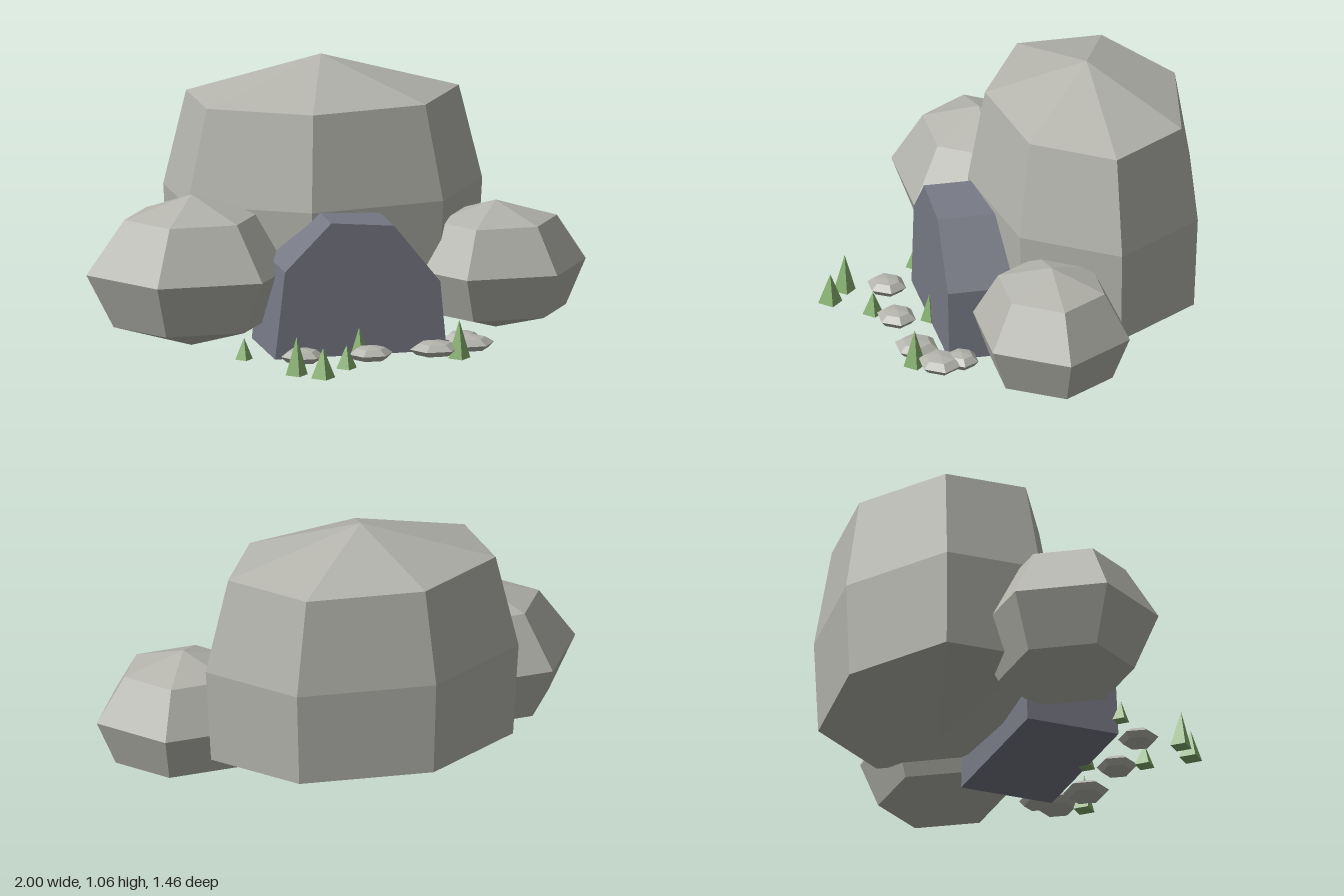
import * as THREE from 'three';

const mat = (color) => new THREE.MeshStandardMaterial({ color, flatShading: true });

// Faceted boulder: apex, three rings, apex; `low` and `top` scale the outer rings.
function boulder(sides, low, top) {
  const k = Math.SQRT1_2;
  const profile = [[0, -1], [low, -k], [1, 0], [top, k], [0, 1]].map(([r, y]) => new THREE.Vector2(r, y));
  return new THREE.LatheGeometry(profile, sides).rotateY(Math.PI / 2);
}

export function createModel() {
  const group = new THREE.Group();
  const stone = mat(0xb4b4ad);
  const dark = mat(0x777985);
  const green = mat(0x86b070);

  const add = (name, geometry, material, x, y, z) => {
    const mesh = new THREE.Mesh(geometry, material);
    mesh.name = name;
    mesh.position.set(x, y, z);
    group.add(mesh);
    return mesh;
  };

  // Boulders
  add('mainBoulder', boulder(7, 0.965, 0.855), stone, 0.01, 0.53, -0.29).scale.set(0.645, 0.53, 0.452);
  add('rightBoulder', boulder(6, 0.74, 0.64), stone, -0.58, 0.3, 0.01).scale.set(0.42, 0.3, 0.347);
  add('leftBoulder', boulder(6, 0.78, 0.68), stone, 0.64, 0.253, -0.012).scale.set(0.36, 0.253, 0.314);

  // Dark entrance block
  const outline = [[-0.325, 0], [0.36, 0], [0.335, 0.275], [0.15, 0.507], [-0.1, 0.53], [-0.285, 0.345]];
  const entrance = new THREE.Shape(outline.map(([x, y]) => new THREE.Vector2(x, y)));
  add('caveEntrance', new THREE.ExtrudeGeometry(entrance, { depth: 0.38, bevelEnabled: false }), dark, 0, 0, -0.048);

  // Pebbles: x, z, radius x, radius z
  const pebble = boulder(6, 0.75, 0.65);
  [
    [-0.245, 0.448, 0.085, 0.078],
    [0.023, 0.468, 0.088, 0.078],
    [0.285, 0.445, 0.1, 0.087],
    [0.437, 0.385, 0.1, 0.087],
    [0.43, 0.3, 0.075, 0.07],
  ].forEach(([x, z, rx, rz], i) => {
    add(`pebble${i + 1}`, pebble, stone, x, 0.037, z).scale.set(rx, 0.031, rz);
  });

  // Grass tufts: x, z, height, radius
  [
    [-0.305, 0.602, 0.152, 0.044],
    [-0.218, 0.678, 0.12, 0.048],
    [-0.09, 0.537, 0.092, 0.041],
    [0.376, 0.473, 0.152, 0.044],
    [0.01, 0.335, 0.112, 0.035],
    [-0.44, 0.295, 0.085, 0.035],
  ].forEach(([x, z, h, r], i) => {
    add(`grassTuft${i + 1}`, new THREE.ConeGeometry(r, h, 4), green, x, h / 2, z);
  });

  return group;
}
